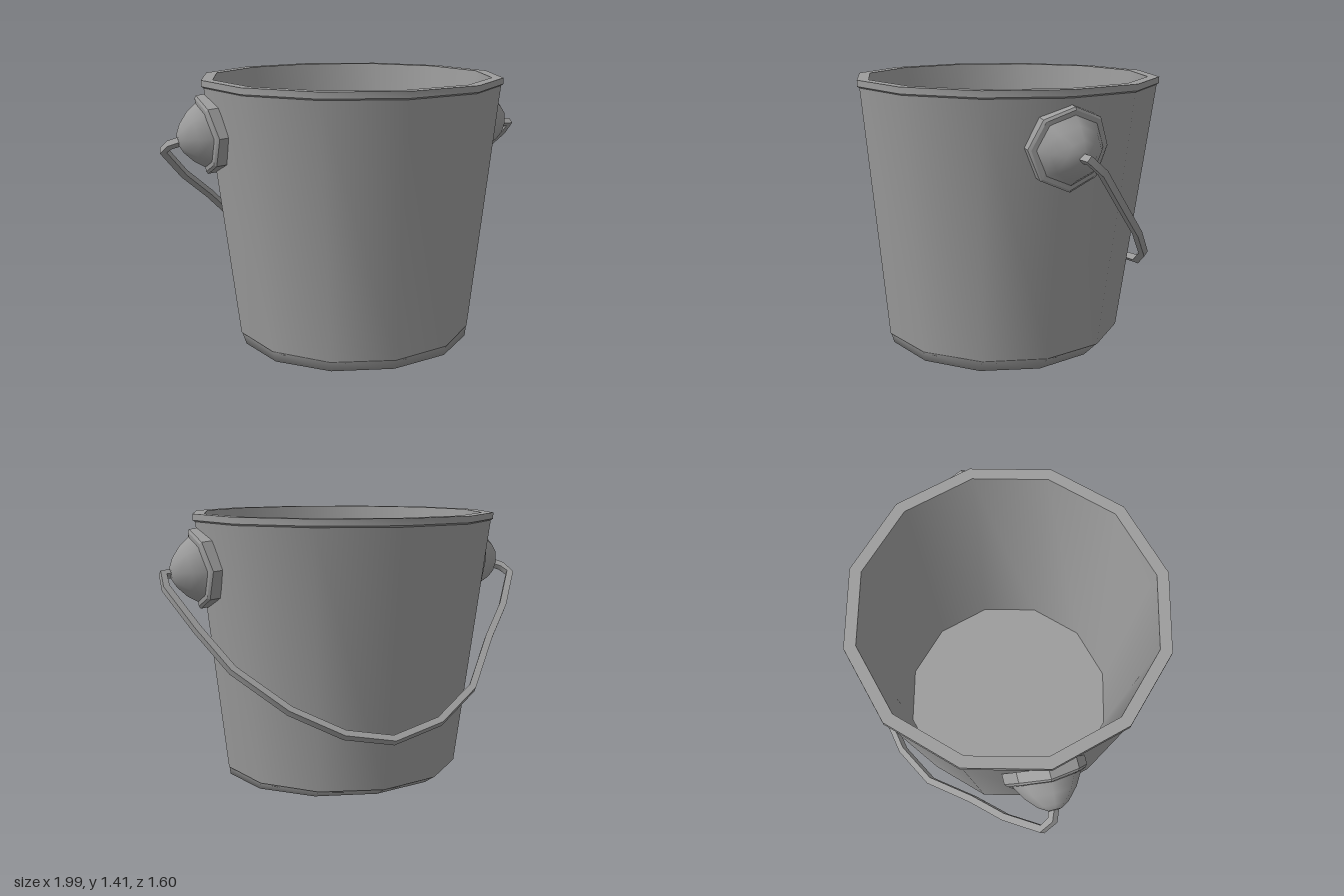
import * as THREE from 'three';
import { toCreasedNormals } from 'three/addons/utils/BufferGeometryUtils.js';

const material = new THREE.MeshStandardMaterial({ color: 0x9c9c9c, side: THREE.DoubleSide });

function lathe(points, sides) {
  return new THREE.LatheGeometry(points.map(([r, y]) => new THREE.Vector2(r, y)), sides);
}

function mesh(name, geometry, crease) {
  const m = new THREE.Mesh(crease ? toCreasedNormals(geometry, crease) : geometry, material);
  m.name = name;
  return m;
}

// Moves every vertex of a geometry by a rule
function bend(geometry, rule) {
  const p = geometry.attributes.position;
  const v = new THREE.Vector3();
  for (let i = 0; i < p.count; i++) {
    rule(v.fromBufferAttribute(p, i));
    p.setXYZ(i, v.x, v.y, v.z);
  }
  return geometry;
}

// Twelve-sided pail: wall, rolled rim, inner wall and floor, on a bevelled foot
function createPail() {
  const shell = lathe([
    [0.637, 0.053], [0.79, 1.37], [0.802, 1.378],
    [0.802, 1.41], [0.742, 1.41], [0.6, 0.07], [0, 0.07],
  ], 12);
  bend(shell, (v) => { if (v.y < 0.06) v.z += 0.03; });

  // The underside is set forward, so the bevel is wide at the back
  const foot = lathe([[0, 0], [0.62, 0], [0.634, 0.053]], 12);
  bend(foot, (v) => {
    if (v.y > 0.01) v.z += 0.03;
    else v.z = v.z * 0.935 + 0.068;
  });

  const pail = new THREE.Group();
  pail.name = 'pail';
  pail.add(mesh('shell', shell, 0.6), mesh('foot', foot));
  pail.position.x = 0.015;
  return pail;
}

// Octagonal plate curved to the wall, with a pointed hub, leaning with the wall
function createEar(name, side) {
  const wrap = (v) => { v.y -= 1.15 * v.z * v.z; };
  const plate = lathe([[0, -0.06], [0.205, -0.06], [0.205, -0.008], [0.192, 0], [0.1, 0]], 8);
  const hub = lathe([[0.172, -0.005], [0.13, 0.052], [0.075, 0.098], [0.032, 0.118], [0, 0.118]], 8);
  const tilt = new THREE.Group();
  tilt.position.set(0.81, 1.13, -0.008 * side);
  tilt.rotation.z = -Math.PI / 2 - 0.12;
  tilt.add(mesh('earPlate', bend(plate, wrap), 0.5), mesh('earHub', bend(hub, wrap), 0.9));

  const ear = new THREE.Group();
  ear.name = name;
  ear.add(tilt);
  ear.rotation.y = side > 0 ? 0 : Math.PI;
  ear.position.x = 0.012;
  return ear;
}

// Square wire bail hanging down behind the pail
function createHandle() {
  const path = [
    [0.91, 1.112, 0], [0.978, 1.112, -0.01], [0.978, 1.05, -0.08], [0.86, 0.86, -0.245],
    [0.73, 0.68, -0.41], [0.5, 0.5, -0.585], [0.26, 0.385, -0.69], [0.02, 0.345, -0.73],
    [-0.25, 0.4, -0.68], [-0.49, 0.525, -0.565], [-0.69, 0.74, -0.37], [-0.85, 0.89, -0.235],
    [-0.978, 1.05, -0.085], [-0.955, 1.085, -0.03], [-0.88, 1.112, 0],
  ].map((v) => new THREE.Vector3(...v));
  // Straight runs, with one ring of the tube at every bend
  const curve = new THREE.CatmullRomCurve3(path, false, 'catmullrom', 0);
  curve.getPointAt = (u, target) => curve.getPoint(u, target);
  curve.getTangentAt = (u, target) => curve.getTangent(u, target);
  return mesh('handle', new THREE.TubeGeometry(curve, path.length - 1, 0.025, 4, false), 0.8);
}

export function createModel() {
  const model = new THREE.Group();
  model.name = 'bucket';
  model.add(createPail(), createEar('leftEar', 1), createEar('rightEar', -1), createHandle());
  return model;
}
